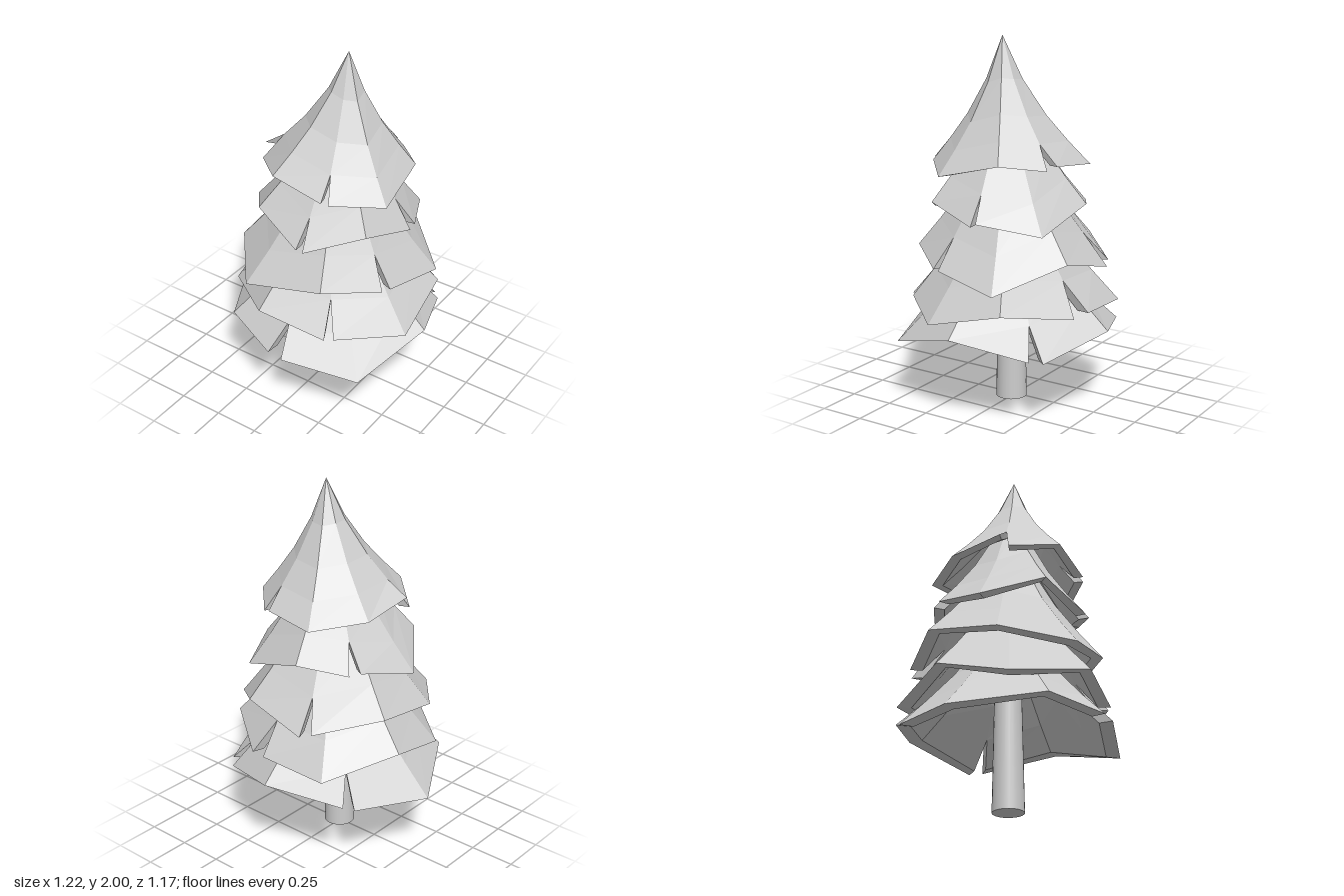
import * as THREE from 'three';

// Each tier: apex [x, y, z] and strips of rim points; a notch lies between strips.
const crown = {
  name: 'crownTier', apex: [0.105, 2, 0.012], strips: [
    [[-0.316, 1.34, 0.19], [-0.1, 1.4, 0.39], [0.195, 1.34, 0.39]],
    [[0.23, 1.33, 0.375], [0.45, 1.295, 0.18], [0.41, 1.375, -0.16], [0.23, 1.34, -0.34]],
    [[0.175, 1.36, -0.365], [-0.12, 1.33, -0.39], [-0.316, 1.36, -0.15], [-0.33, 1.41, 0.145]],
  ],
};
const upper = {
  name: 'upperTier', apex: [0.07, 1.87, 0.012], strips: [
    [[0.12, 1.045, 0.45], [0.39, 1.14, 0.27], [0.47, 1.06, -0.03]],
    [[0.475, 1.08, -0.065], [0.325, 1.02, -0.37], [-0.05, 1.13, -0.41], [-0.29, 1.09, -0.27]],
    [[-0.325, 1.1, -0.22], [-0.435, 1.03, 0.085], [-0.22, 1.155, 0.36], [0.08, 1.05, 0.45]],
  ],
};
const middle = {
  name: 'middleTier', apex: [0.05, 1.7, 0.012], strips: [
    [[0.48, 0.8, 0.17], [0.54, 0.735, -0.205], [0.235, 0.87, -0.465], [-0.14, 0.78, -0.49]],
    [[-0.2, 0.8, -0.465], [-0.465, 0.87, -0.195], [-0.46, 0.815, 0.2],
      [-0.2, 0.765, 0.52], [0.245, 0.855, 0.47], [0.46, 0.8, 0.215]],
  ],
};
const lower = {
  name: 'lowerTier', apex: [0.04, 1.5, 0.013], strips: [
    [[0.32, 0.58, 0.46], [0.58, 0.535, 0.165], [0.53, 0.635, -0.25], [0.2, 0.575, -0.49]],
    [[0.1, 0.59, -0.515], [-0.285, 0.56, -0.485], [-0.505, 0.655, -0.12],
      [-0.46, 0.56, 0.27], [-0.1, 0.645, 0.545], [0.28, 0.58, 0.49]],
  ],
};
const bottom = {
  name: 'bottomTier', apex: [0.03, 1.25, 0.015], strips: [
    [[0.067, 0.415, 0.585], [0.47, 0.36, 0.455], [0.61, 0.487, 0.015], [0.465, 0.4, -0.38]],
    [[0.415, 0.387, -0.435], [0.02, 0.48, -0.59], [-0.38, 0.42, -0.425]],
    [[-0.42, 0.4, -0.38], [-0.613, 0.377, 0], [-0.365, 0.45, 0.435], [-0.02, 0.425, 0.58]],
  ],
};

// Concave slope: share of the radius and share of the rise, rim to apex
const PROFILE = [[1, 0], [0.75, 0.18], [0.5, 0.38], [0.23, 0.66], [0, 1]];

const average = (a, b) => a.map((v, i) => (v + b[i]) / 2);

// Points from rim to apex; above the rim a column follows "top", closing the notch
function column(rim, top, apex, inset) {
  const scale = inset ? 0.87 : 1;
  const apexY = apex[1] - (inset ? 0.1 : 0);
  return PROFILE.map(([t, rise], row) => {
    const p = row === 0 ? rim : top;
    return [
      apex[0] + (p[0] - apex[0]) * t * scale,
      p[1] + (apexY - p[1]) * rise,
      apex[2] + (p[2] - apex[2]) * t * scale,
    ];
  });
}

function tierGeometry({ apex, strips }) {
  const positions = [];
  const tri = (a, b, c) => positions.push(...a, ...b, ...c);
  const quad = (a, b, c, d) => { tri(a, b, c); tri(a, c, d); };
  const last = PROFILE.length - 1;

  strips.forEach((strip, s) => {
    const next = strips[(s + 1) % strips.length];
    const prev = strips[(s + strips.length - 1) % strips.length];
    const tops = strip.map((p, i) => {
      if (i === 0) return average(p, prev[prev.length - 1]);
      if (i === strip.length - 1) return average(p, next[0]);
      return p;
    });
    const out = strip.map((p, i) => column(p, tops[i], apex, false));
    const inn = strip.map((p, i) => column(p, tops[i], apex, true));

    for (let i = 0; i < strip.length - 1; i++) {
      const j = i + 1;
      for (let r = 0; r < last - 1; r++) {
        quad(out[i][r], out[j][r], out[j][r + 1], out[i][r + 1]);
        quad(inn[j][r], inn[i][r], inn[i][r + 1], inn[j][r + 1]);
      }
      tri(out[i][last - 1], out[j][last - 1], out[i][last]);
      tri(inn[j][last - 1], inn[i][last - 1], inn[i][last]);
      // rim underside
      quad(inn[i][0], inn[j][0], out[j][0], out[i][0]);
    }
    // notch walls
    const e = strip.length - 1;
    quad(out[0][0], out[0][1], inn[0][1], inn[0][0]);
    quad(inn[e][0], inn[e][1], out[e][1], out[e][0]);
  });

  const geometry = new THREE.BufferGeometry();
  geometry.setAttribute('position', new THREE.Float32BufferAttribute(positions, 3));
  geometry.computeVertexNormals();
  return geometry;
}

export function createModel() {
  const tree = new THREE.Group();
  tree.name = 'pineTree';
  const grey = new THREE.MeshStandardMaterial({ color: 0xcccccc });
  grey.name = 'light grey';

  // foliage
  for (const tier of [crown, upper, middle, lower, bottom]) {
    const mesh = new THREE.Mesh(tierGeometry(tier), grey);
    mesh.name = tier.name;
    tree.add(mesh);
  }

  // trunk
  const trunk = new THREE.Mesh(new THREE.CylinderGeometry(0.065, 0.085, 1.1, 24), grey);
  trunk.name = 'trunk';
  trunk.position.set(0.018, 0.55, 0.015);
  tree.add(trunk);

  return tree;
}
